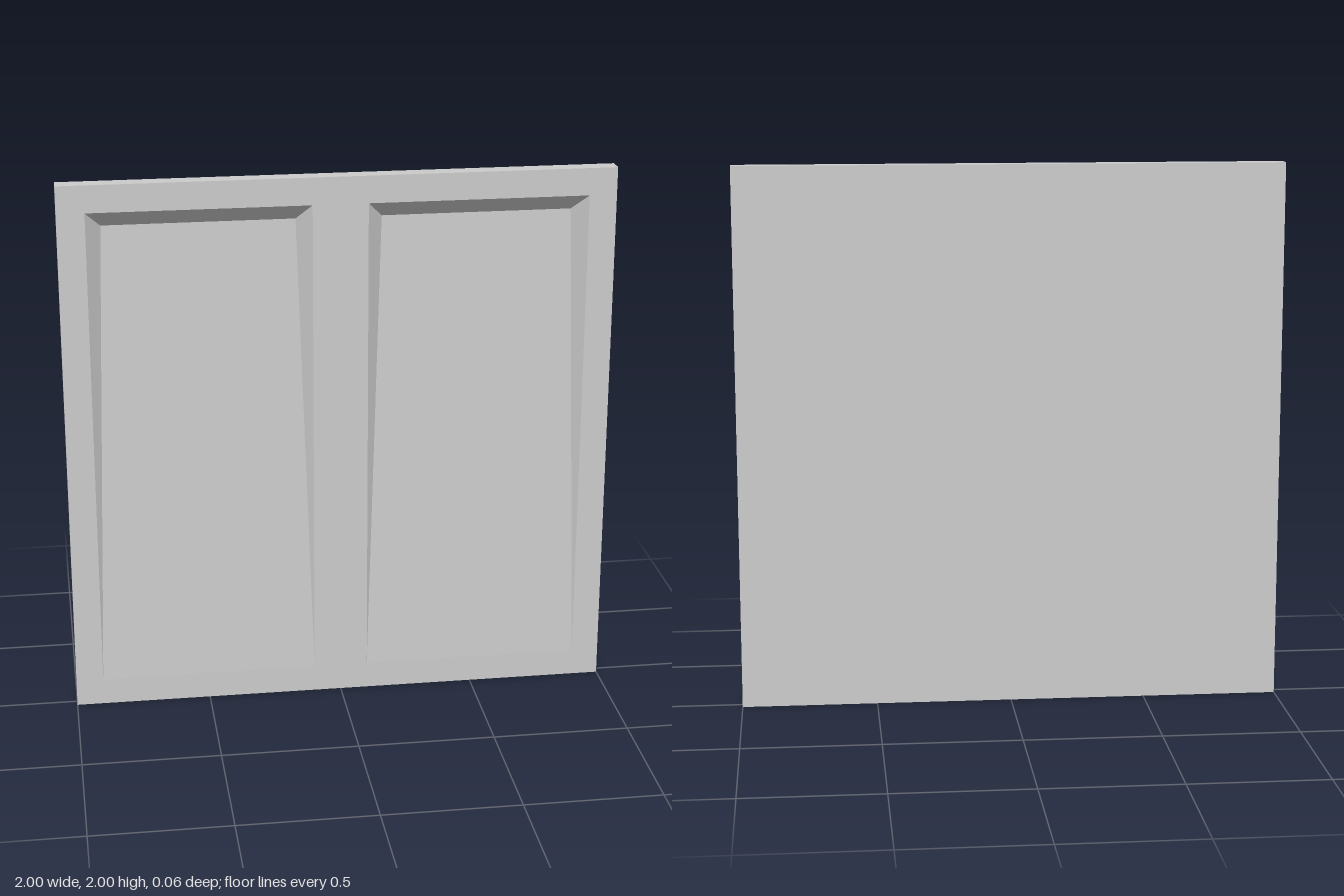
import * as THREE from 'three';

const SIZE = 2, THICK = 0.06, FRONT = THICK / 2;
// Recess outline within each half, and the bevel at its deep upper end
const BOTTOM = 0.1, TOP = 1.9, HALF_WIDTH = 0.4, BEVEL = 0.055, DEPTH = 0.055;

const material = new THREE.MeshStandardMaterial({ color: 0xcccccc, flatShading: true });

function addMesh(group, name, geometry) {
  const mesh = new THREE.Mesh(geometry, material);
  mesh.name = name;
  group.add(mesh);
}

// Wedge-shaped pocket: flush at the bottom, deepest at the top
function recessGeometry(cx) {
  const l = cx - HALF_WIDTH, r = cx + HALF_WIDTH, z = FRONT - DEPTH;
  const A = [l, BOTTOM, FRONT], B = [r, BOTTOM, FRONT];
  const C = [r, TOP, FRONT], D = [l, TOP, FRONT];
  const c = [r - BEVEL, TOP - 0.06, z], d = [l + BEVEL, TOP - 0.06, z];
  const corners = [
    A, B, c, A, c, d, // sloping floor
    A, d, D, B, C, c, // tapering side walls
    d, c, C, d, C, D, // top bevel
  ];
  const geometry = new THREE.BufferGeometry();
  geometry.setAttribute('position', new THREE.Float32BufferAttribute(corners.flat(), 3));
  geometry.computeVertexNormals();
  return geometry;
}

export function createModel() {
  const group = new THREE.Group();
  group.name = 'recessedPanel';

  // Back and edges: a box without its front side
  const body = new THREE.BoxGeometry(SIZE, SIZE, THICK).translate(0, SIZE / 2, 0);
  const index = Array.from(body.index.array);
  index.splice(24, 6);
  body.setIndex(index);
  body.clearGroups();
  addMesh(group, 'panelBody', body);

  // Front face with two openings, each filled by a pocket
  const h = SIZE / 2;
  const face = new THREE.Shape().moveTo(-h, 0).lineTo(h, 0).lineTo(h, SIZE).lineTo(-h, SIZE).closePath();
  for (const side of [-1, 1]) {
    const cx = side * 0.5, l = cx - HALF_WIDTH, r = cx + HALF_WIDTH;
    face.holes.push(new THREE.Path().moveTo(l, BOTTOM).lineTo(l, TOP).lineTo(r, TOP).lineTo(r, BOTTOM).closePath());
    addMesh(group, side < 0 ? 'rightRecess' : 'leftRecess', recessGeometry(cx));
  }
  addMesh(group, 'frontFace', new THREE.ShapeGeometry(face).translate(0, 0, FRONT));

  return group;
}
